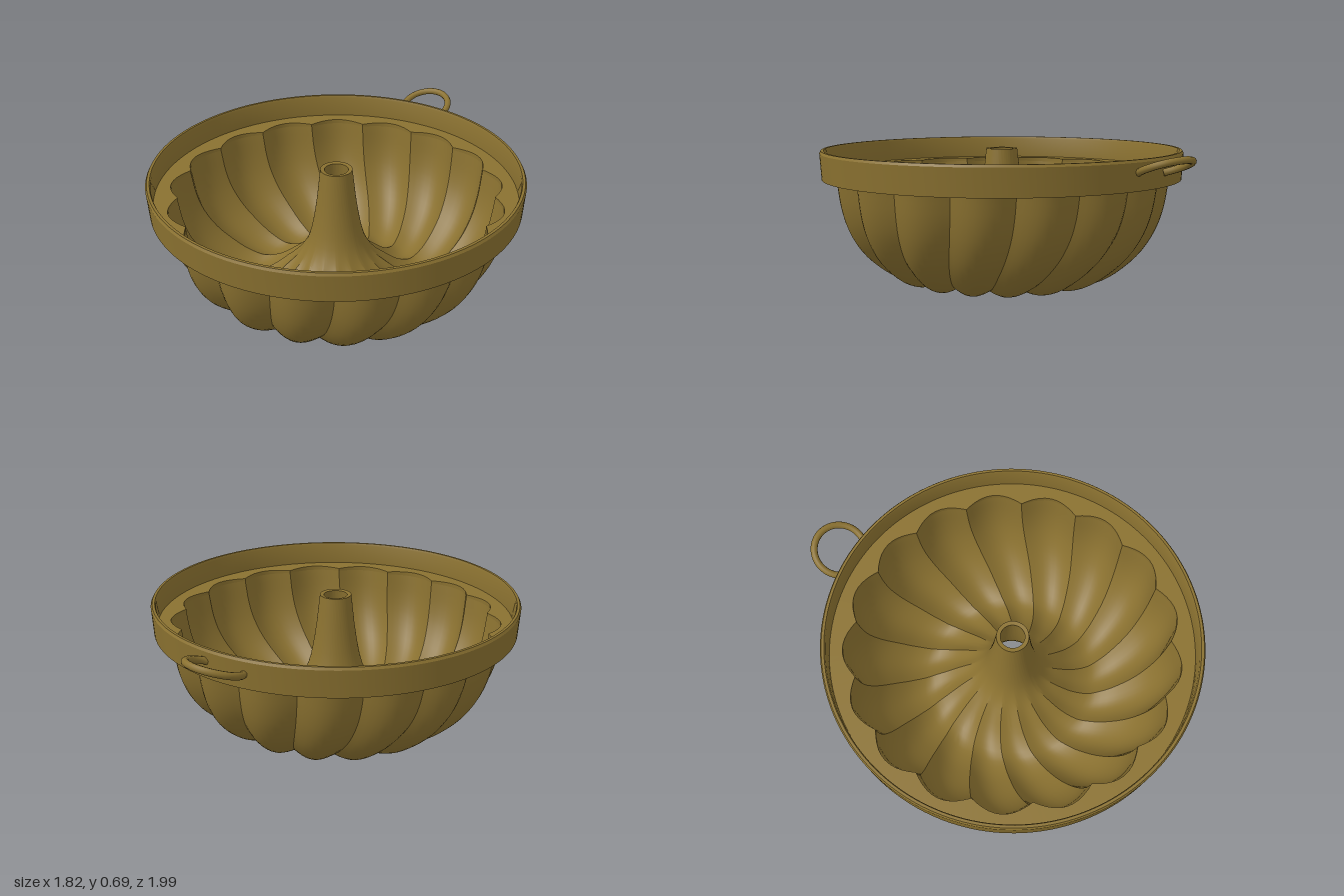
import * as THREE from 'three';
import { toCreasedNormals } from 'three/addons/utils/BufferGeometryUtils.js';

const FLUTES = 17, PER_FLUTE = 10, COLS = FLUTES * PER_FLUTE;
const WALL = 0.02, RIM_Y = 0.53, SHELF_Y = 0.555;

// Profile of the fluted shell, from the rim down, under and up the central funnel
const profile = new THREE.CatmullRomCurve3([
  [0.84, 0.53], [0.82, 0.4], [0.785, 0.29], [0.72, 0.18], [0.63, 0.09], [0.53, 0.025],
  [0.43, 0.002], [0.33, 0.04], [0.235, 0.12], [0.165, 0.2], [0.12, 0.29], [0.085, 0.45], [0.058, 0.67],
].map(([r, y]) => new THREE.Vector3(r, y, 0)));

// Point on the shell: flutes are scallops along the profile normal, swept in a spiral
function shellPoint(t, col, inset) {
  const p = profile.getPoint(t), d = profile.getTangent(t);
  const depth = 0.062 * p.x * THREE.MathUtils.smoothstep(p.x, 0.1, 0.25);
  const scallop = Math.abs(Math.sin(Math.PI * col / PER_FLUTE));
  const off = depth * (scallop - 1) - inset;
  return {
    r: p.x - d.y * off,
    y: p.y + d.x * off,
    a: (col / COLS) * Math.PI * 2 - (0.84 - p.x) * 0.55,
  };
}

const circle = (r, y) => (col) => ({ r, y, a: (col / COLS) * Math.PI * 2 });

// Surface through closed rows, each row a function of the column number
function loft(rows) {
  const pos = [], index = [];
  rows.forEach((row, i) => {
    for (let j = 0; j < COLS; j++) {
      const { r, y, a } = row(j);
      pos.push(r * Math.sin(a), y, r * Math.cos(a));
      if (i === rows.length - 1) continue;
      const k = (j + 1) % COLS, n = i * COLS, m = n + COLS;
      index.push(n + j, m + j, m + k, n + j, m + k, n + k);
    }
  });
  const g = new THREE.BufferGeometry();
  g.setAttribute('position', new THREE.Float32BufferAttribute(pos, 3));
  g.setIndex(index);
  return toCreasedNormals(g, 0.5);
}

export function createModel() {
  const brass = new THREE.MeshStandardMaterial({ color: 0x8a7130 });
  brass.name = 'agedBrass';
  const group = new THREE.Group();
  group.name = 'flutedCakePan';

  const pan = new THREE.Group();
  pan.name = 'pan';
  pan.position.z = 0.085;
  group.add(pan);

  const add = (parent, name, geometry) => {
    const mesh = new THREE.Mesh(geometry, brass);
    mesh.name = name;
    parent.add(mesh);
    return mesh;
  };

  // Fluted bowl and funnel: outside down and up, over the funnel lip, then back inside
  const STEPS = 36, rows = [];
  for (let i = 0; i <= STEPS; i++) rows.push((c) => shellPoint(i / STEPS, c, 0));
  for (let i = STEPS; i >= 0; i--) rows.push((c) => shellPoint(i / STEPS, c, WALL));
  add(pan, 'flutedBowl', loft(rows));

  // Rim: scalloped shelf, upright band with rounded lip, underside
  add(pan, 'rim', loft([
    (c) => shellPoint(0, c, WALL),
    (c) => ({ ...shellPoint(0, c, WALL), y: SHELF_Y }),
    circle(0.882, SHELF_Y),
    circle(0.884, 0.66),
    circle(0.889, 0.672),
    circle(0.902, 0.672),
    circle(0.909, 0.66),
    circle(0.901, RIM_Y),
    (c) => ({ ...shellPoint(0, c, 0), y: RIM_Y }),
  ]));

  // Hanging ring: open loop whose ends run into the back of the rim
  const start = THREE.MathUtils.degToRad(-27), end = THREE.MathUtils.degToRad(229);
  const ring = new THREE.TorusGeometry(0.126, 0.017, 10, 40, end - start);
  ring.rotateZ(start);
  const handle = add(group, 'hangingRing', ring);
  handle.rotation.x = THREE.MathUtils.degToRad(-70);
  handle.position.set(-0.198, 0.632, -0.862);

  return group;
}
